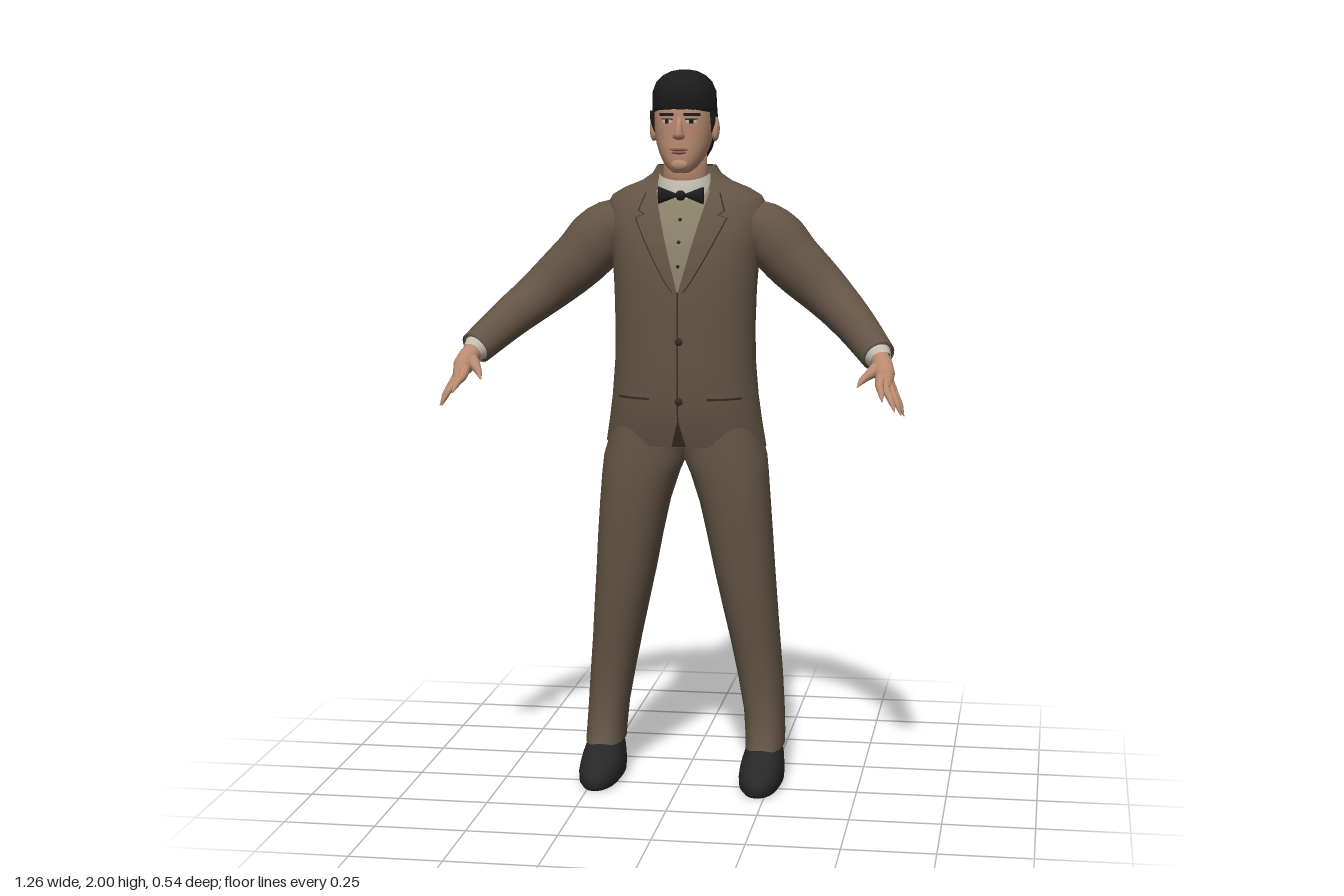
import * as THREE from 'three';
import { mergeVertices } from 'three/addons/utils/BufferGeometryUtils.js';

const mat = (name, color, side = THREE.FrontSide) =>
  Object.assign(new THREE.MeshStandardMaterial({ color, side }), { name });

// Row: [y, xA, xB, zFront, zBack]; sym makes one centred on x = 0
const sym = rows => rows.map(([y, w, zf, zb]) => [y, -w, w, zf, zb]);
const mirrored = (rows, s) => rows.map(([y, a, b, f, k]) => [y, s * a, s * b, f, k]);

function build(pos, idx) {
  const g = new THREE.BufferGeometry();
  g.setAttribute('position', new THREE.Float32BufferAttribute(pos, 3));
  g.setIndex(idx);
  g.computeVertexNormals();
  return g;
}

// Stack of rounded cross-sections, optionally capped and warped
function loft(rows, { n = 2.3, seg = 48, caps = true, warp } = {}) {
  const pos = [], idx = [], v = new THREE.Vector3();
  const add = (x, y, z) => { v.set(x, y, z); if (warp) warp(v); pos.push(v.x, v.y, v.z); };
  const pw = c => Math.sign(c) * Math.abs(c) ** (2 / n);
  for (const [y, a, b, f, k] of rows)
    for (let j = 0; j < seg; j++) {
      const t = j / seg * Math.PI * 2;
      add((a + b) / 2 + Math.abs(b - a) / 2 * pw(Math.cos(t)), y, (f + k) / 2 + (f - k) / 2 * pw(Math.sin(t)));
    }
  const top = (rows.length - 1) * seg;
  for (let i = 0; i < top; i += seg)
    for (let j = 0; j < seg; j++) {
      const p = i + j, q = i + (j + 1) % seg;
      idx.push(p, p + seg, q, p + seg, q + seg, q);
    }
  if (caps) {
    const c = pos.length / 3;
    for (const r of [rows[0], rows.at(-1)]) add((r[1] + r[2]) / 2, r[0], (r[3] + r[4]) / 2);
    for (let j = 0; j < seg; j++) {
      const k = (j + 1) % seg;
      idx.push(c, j, k, c + 1, top + k, top + j);
    }
  }
  return build(pos, idx);
}

// Depth of a symmetric loft at (x, y); dir 1 is the front, -1 the back
function depth(rows, x, y, dir = 1, n = 2.3) {
  let i = 0;
  while (i < rows.length - 2 && rows[i + 1][0] < y) i++;
  const t = (y - rows[i][0]) / (rows[i + 1][0] - rows[i][0]);
  const [, , w, f, k] = rows[i].map((a, c) => a + (rows[i + 1][c] - a) * t);
  return (f + k) / 2 + dir * (f - k) / 2 * Math.max(0, 1 - Math.abs(x / w) ** n) ** (1 / n);
}

// Thin plate lying on a loft between the lines xl(y) and xr(y)
function plate(rows, xl, xr, y0, y1, off = 0.004, dir = 1, warp) {
  const pos = [], idx = [], H = 28, W = 8, v = new THREE.Vector3();
  for (let i = 0; i <= H; i++)
    for (let j = 0; j <= W; j++) {
      const y = y0 + (y1 - y0) * i / H, x = xl(y) + (xr(y) - xl(y)) * j / W;
      v.set(x, y, depth(rows, x, y, dir) + dir * off);
      if (warp) warp(v);
      pos.push(v.x, v.y, v.z);
      if (i < H && j < W) {
        const a = i * (W + 1) + j, b = a + W + 1;
        if (dir > 0) idx.push(a, a + 1, b, a + 1, b + 1, b);
        else idx.push(a, b, a + 1, a + 1, b, b + 1);
      }
    }
  return build(pos, idx);
}

// Tapered tube through points, with a radius for each point
function limb(points, radii, s = 1, n = 24, seg = 20) {
  const path = new THREE.CatmullRomCurve3(points.map(([x, y, z]) => new THREE.Vector3(s * x, y, z)));
  const g = new THREE.TubeGeometry(path, n, 1, seg);
  const p = g.attributes.position, v = new THREE.Vector3();
  for (let i = 0; i <= n; i++) {
    const c = path.getPointAt(i / n), f = i / n * (radii.length - 1), k = Math.min(Math.floor(f), radii.length - 2);
    const r = radii[k] + (radii[k + 1] - radii[k]) * (f - k);
    for (let j = 0; j <= seg; j++) {
      const q = i * (seg + 1) + j;
      v.fromBufferAttribute(p, q).sub(c).multiplyScalar(r).add(c);
      p.setXYZ(q, v.x, v.y, v.z);
    }
  }
  g.deleteAttribute('uv');
  g.deleteAttribute('normal');
  const m = mergeVertices(g, 1e-6);
  m.computeVertexNormals();
  return m;
}

export function createModel() {
  const root = new THREE.Group();
  root.name = 'manInSuit';
  const suit = mat('suitBrown', 0x635444, THREE.DoubleSide), seam = mat('seamDark', 0x352c23);
  const skin = mat('skin', 0xb98b70), lip = mat('lips', 0x8e5f4f), black = mat('black', 0x1c1c1d);
  const shoe = mat('shoeBlack', 0x272728), shirt = mat('shirtBeige', 0x898069);
  const linen = mat('linenWhite', 0xc8c2b5, THREE.DoubleSide);
  const add = (name, geo, m, parent = root) => {
    const mesh = new THREE.Mesh(geo, m);
    mesh.name = name;
    parent.add(mesh);
    return mesh;
  };
  const ball = (name, m, p, r) => {
    const b = add(name, new THREE.SphereGeometry(1, 20, 14), m);
    b.position.set(...p);
    b.scale.set(...r);
    return b;
  };

  // Jacket, with its hem falling lower at the back
  const body = sym([
    [.968, .225, .018, -.265], [1.03, .214, .035, -.262], [1.1, .204, .045, -.26], [1.2, .196, .046, -.255],
    [1.3, .195, .045, -.252], [1.4, .198, .042, -.256], [1.47, .203, .033, -.258], [1.53, .211, .02, -.256],
    [1.58, .22, 0, -.25], [1.63, .222, -.028, -.235], [1.655, .208, -.046, -.222], [1.675, .175, -.06, -.21],
    [1.695, .125, -.07, -.2], [1.715, .096, -.078, -.19], [1.738, .082, -.082, -.176]]);
  const hem = v => {
    if (v.y < 1.1) v.y -= (1.1 - v.y) / .132 * .06 * THREE.MathUtils.clamp((-.11 - v.z) / .15, 0, 1);
  };
  add('jacket', loft(body, { caps: false, warp: hem }), suit);
  add('backVent', plate(body, y => -.009 * (1.13 - y) / .16, y => .009 * (1.13 - y) / .16, .97, 1.13, .003, -1, hem), seam);
  add('frontSeam', plate(body, () => -.002, () => .002, 1.02, 1.4, .003), seam);
  add('frontOpening', plate(body, y => -.02 * (1.05 - y) / .08, y => .02 * (1.05 - y) / .08, .97, 1.05, .002), seam);

  // Shirt front in the jacket opening
  const vee = y => .002 + .07 * (y - 1.4) / .26;
  add('shirtFront', plate(body, y => -vee(y), vee, 1.4, 1.672, .004), shirt);
  for (const y of [1.47, 1.535, 1.595])
    ball('shirtButton', seam, [0, y, depth(body, 0, y) + .005], [.005, .005, .004]);
  for (const y of [1.1, 1.265])
    ball('jacketButton', seam, [.004, y, depth(body, 0, y) + .004], [.011, .011, .005]);

  // Shirt collar, rising towards the nape
  add('shirtCollar', loft(sym([[1.695, .08, -.02, -.18], [1.72, .076, -.022, -.176], [1.742, .07, -.028, -.17]]),
    { caps: false, n: 2, warp: v => { v.y -= (v.z + .17) * .3; } }), linen);
  // Bow tie
  for (const s of [-1, 1]) {
    const wing = add('bowTieWing', new THREE.ConeGeometry(.024, .062, 20), black);
    wing.rotation.z = s * Math.PI / 2;
    wing.scale.z = .55;
    wing.position.set(s * .031, 1.66, -.018);
  }
  ball('bowTieKnot', black, [0, 1.66, -.012], [.014, .014, .014]);

  // Neck and head
  add('neck', loft(sym([[1.63, .068, -.045, -.17], [1.72, .06, -.035, -.16], [1.8, .06, -.03, -.165]]), { n: 2 }), skin);
  const head = sym([
    [1.722, .022, .002, -.05], [1.735, .04, .014, -.09], [1.755, .055, .017, -.13], [1.775, .065, .018, -.15],
    [1.8, .074, .018, -.17], [1.84, .08, .017, -.18], [1.88, .081, .02, -.185], [1.92, .079, .014, -.185],
    [1.96, .064, -.01, -.165], [1.985, .03, -.05, -.12]]);
  add('head', loft(head), skin);
  add('nose', loft(sym([[1.812, .008, .022, 0], [1.818, .017, .036, 0], [1.828, .014, .041, 0],
    [1.85, .009, .032, 0], [1.872, .009, .022, 0]]), { n: 2, seg: 20 }), skin);
  ball('upperLip', lip, [0, 1.786, .018], [.026, .004, .006]);
  ball('lowerLip', lip, [0, 1.778, .018], [.02, .005, .006]);
  ball('chin', skin, [0, 1.745, .008], [.024, .018, .014]);

  // Short hair, full at the back and cut above the forehead
  const hair = sym([
    [1.752, .05, -.125, -.165], [1.78, .066, -.118, -.18], [1.81, .076, -.108, -.19], [1.85, .083, -.075, -.198],
    [1.872, .086, -.03, -.2], [1.888, .087, .012, -.201], [1.9, .087, .024, -.202], [1.94, .085, .026, -.2],
    [1.965, .075, .018, -.188], [1.983, .058, 0, -.165], [1.995, .035, -.03, -.135], [1.999, .012, -.06, -.1]]);
  add('hair', loft(hair, { seg: 64, warp: v => {
    const b = 1 + .014 * Math.sin(v.x * 170 + v.y * 90) * Math.sin(v.z * 150 - v.y * 120);
    v.x *= b;
    v.z = -.09 + (v.z + .09) * b;
  } }), black);

  const trouser = [
    [.1, .175, .284, -.005, -.21], [.13, .174, .284, -.022, -.213], [.2, .168, .281, -.038, -.216],
    [.3, .15, .275, -.038, -.222], [.4, .13, .267, -.026, -.225], [.5, .108, .26, -.01, -.226],
    [.6, .086, .253, 0, -.226], [.7, .066, .247, .008, -.222], [.8, .044, .24, .014, -.224],
    [.88, .018, .234, .016, -.23], [.93, -.004, .229, .014, -.235], [1.03, -.01, .2, .01, -.235]];
  const shoeRows = [
    [0, .178, .28, .1, -.188], [.012, .168, .288, .11, -.195], [.035, .166, .29, .108, -.196], [.055, .168, .288, .09, -.195],
    [.075, .172, .285, .052, -.194], [.095, .178, .28, .008, -.192], [.125, .184, .274, -.04, -.19]];
  const sleeve = [[.15, 1.565, -.13], [.22, 1.555, -.13], [.3, 1.475, -.122], [.4, 1.385, -.095], [.48, 1.315, -.012], [.553, 1.243, .092]];
  const fingers = [
    ['indexFinger', [.565, 1.178, .203], [.577, 1.143, .271]], ['middleFinger', [.581, 1.168, .199], [.609, 1.114, .25]],
    ['ringFinger', [.595, 1.16, .186], [.624, 1.101, .219]], ['littleFinger', [.601, 1.154, .167], [.629, 1.094, .18]]];

  for (const s of [-1, 1]) {
    const side = s > 0 ? 'left' : 'right';
    // Plate on one side, mirrored for the other
    const half = (name, rows, xl, xr, y0, y1, off, m) =>
      add(name, s > 0 ? plate(rows, xl, xr, y0, y1, off) : plate(rows, y => -xr(y), y => -xl(y), y0, y1, off), m);

    // Leg and shoe
    add(side + 'TrouserLeg', loft(mirrored(trouser, s), { caps: false, n: 2.4 }), suit);
    add(side + 'Shoe', loft(mirrored(shoeRows, s), { n: 2.2 }), shoe);

    // Lapel with a notch, and pocket
    const edge = y => y < 1.6 ? .012 + .113 * ((y - 1.4) / .2) ** .85 : y < 1.615 ? .1 : .118 - (y - 1.615) * .35;
    half(side + 'LapelEdge', body, edge, y => edge(y) + .004, 1.4, 1.665, .005, seam);
    half(side + 'Lapel', body, vee, edge, 1.4, 1.668, .009, suit);
    half(side + 'Pocket', body, () => .08, () => .172, 1.108, 1.126, .004, suit);
    half(side + 'PocketSlit', body, () => .08, () => .172, 1.102, 1.108, .004, seam);

    // Arm, cuff and hand
    add(side + 'Sleeve', limb(sleeve, [.075, .086, .077, .064, .055, .047], s, 36, 28), suit);
    add(side + 'SleeveEnd', limb([[.55, 1.246, .088], [.556, 1.24, .097]], [.047, .02], s, 4), suit);
    add(side + 'Cuff', limb([[.54, 1.255, .075], [.559, 1.236, .102], [.562, 1.233, .107]], [.036, .038, .028], s, 8), linen);
    add(side + 'Wrist', limb([[.545, 1.25, .08], [.565, 1.225, .122], [.576, 1.195, .16], [.583, 1.17, .187]],
      [.028, .027, .028, .012], s), skin);
    for (const [name, k, t] of fingers) {
      const mid = k.map((a, i) => (a + t[i]) / 2 + (i === 1 ? .005 : 0));
      const base = k.map((a, i) => [.566, 1.217, .13][i] * .6 + a * .4);
      add(side + name[0].toUpperCase() + name.slice(1), limb([base, k, mid, t], [.015, .0135, .0105, .008, .001], s, 20, 12), skin);
    }
    add(side + 'Thumb', limb([[.56, 1.222, .125], [.537, 1.204, .165], [.52, 1.192, .2], [.507, 1.175, .229]],
      [.018, .017, .0125, .009, .001], s, 20, 12), skin);

    // Ear, eye and brow
    ball(side + 'Ear', skin, [s * .085, 1.838, -.088], [.012, .034, .02]).rotation.x = -.2;
    half(side + 'Eye', head, () => .02, () => .047, 1.857, 1.866, .002, linen);
    half(side + 'Iris', head, () => .028, () => .039, 1.856, 1.867, .003, black);
    half(side + 'Eyelid', head, () => .017, () => .05, 1.866, 1.869, .003, seam);
    half(side + 'Brow', head, () => .014, y => .056, 1.876, 1.884, .003, black);
    add(side + 'Sideburn', limb([[.08, 1.89, -.05], [.081, 1.86, -.055], [.078, 1.83, -.06]], [.011, .009, .002], s, 8, 10), black);
  }
  return root;
}
